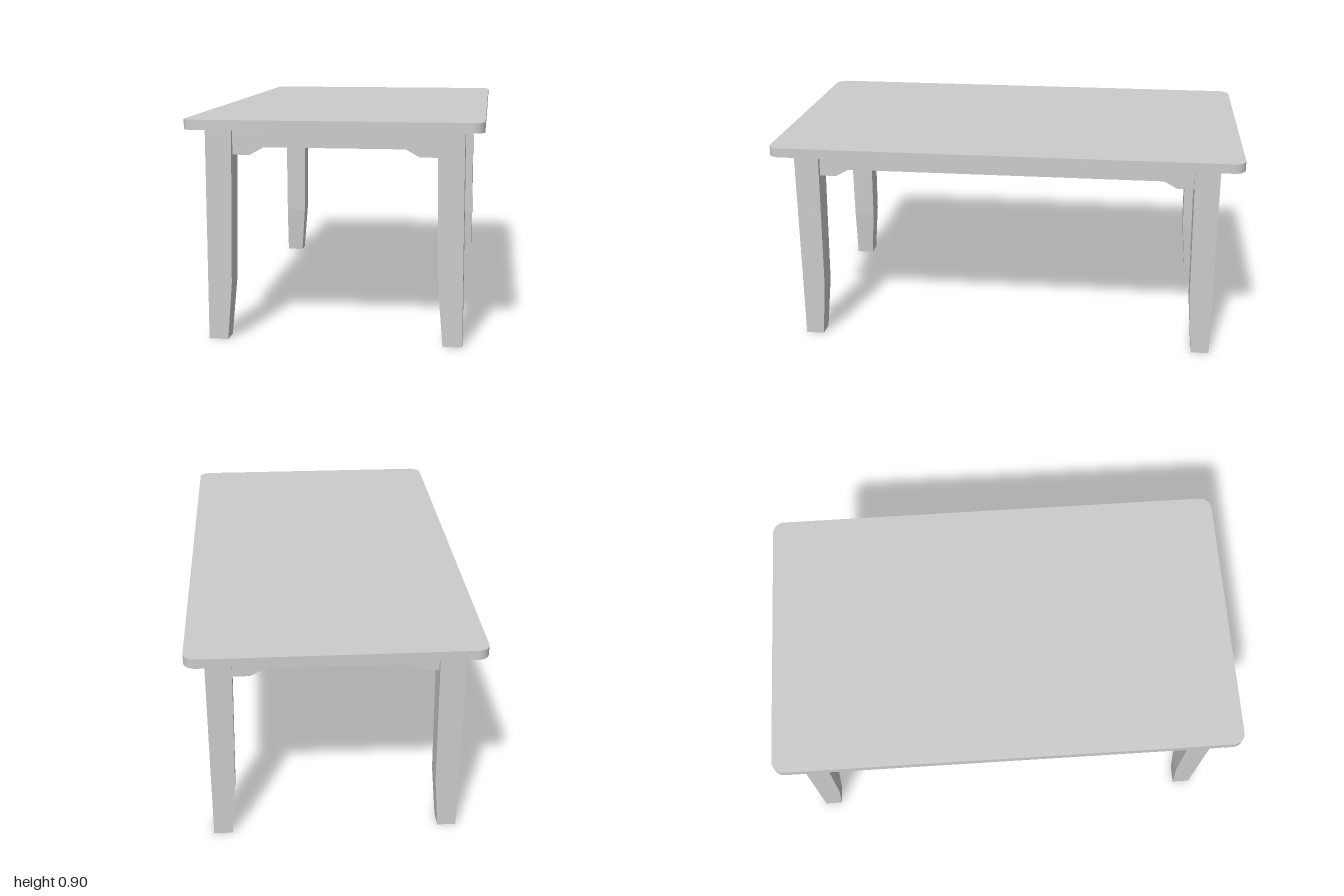
import * as THREE from 'three';
import { toCreasedNormals } from 'three/addons/utils/BufferGeometryUtils.js';

const material = new THREE.MeshStandardMaterial({ color: 0xcccccc });
const TOP_Y = 0.902, FRAME_Y = 0.862; // upper and lower face of the table top
const LEG_X = 0.513, LEG_Z = 0.907;   // outer corner of the legs
const LEG_W = 0.106, RECESS = 0.02, APRON_T = 0.04;

function addMesh(parent, geometry, name) {
  const mesh = new THREE.Mesh(geometry, material);
  mesh.name = name;
  parent.add(mesh);
  return mesh;
}

// Rounded rectangular slab
function topGeometry() {
  const w = 0.586, d = 1, r = 0.05;
  const s = new THREE.Shape();
  s.absarc(w - r, d - r, r, 0, Math.PI / 2);
  s.absarc(-w + r, d - r, r, Math.PI / 2, Math.PI);
  s.absarc(-w + r, -d + r, r, Math.PI, Math.PI * 1.5);
  s.absarc(w - r, -d + r, r, Math.PI * 1.5, Math.PI * 2);
  const g = new THREE.ExtrudeGeometry(s, { depth: TOP_Y - FRAME_Y, bevelEnabled: false, curveSegments: 10 });
  g.rotateX(-Math.PI / 2).translate(0, FRAME_Y, 0);
  return toCreasedNormals(g, 0.6);
}

// Square leg: outer corner on the origin, the two inner faces taper downwards
function legGeometry() {
  const levels = [[0, 0.078], [0.23, 0.097], [0.75, 0.105], [FRAME_Y, LEG_W]];
  const box = new THREE.BoxGeometry(1, 1, 1, 1, 3, 1);
  const p = box.attributes.position;
  for (let i = 0; i < p.count; i++) {
    const [y, w] = levels[Math.round((p.getY(i) + 0.5) * 3)];
    p.setXYZ(i, (p.getX(i) + 0.5) * w, y, (p.getZ(i) + 0.5) * w);
  }
  const g = box.toNonIndexed();
  g.computeVertexNormals();
  return g;
}

// Rail with a stepped bracket at each end; half is the distance to the leg face
function apronGeometry(half) {
  const right = [[half - 0.125, 0.785], [half - 0.07, 0.754], [half + 0.01, 0.754], [half + 0.01, FRAME_Y]];
  const left = right.map(([x, y]) => [-x, y]).reverse();
  const s = new THREE.Shape([...right, ...left].map(([x, y]) => new THREE.Vector2(x, y)));
  return new THREE.ExtrudeGeometry(s, { depth: APRON_T, bevelEnabled: false })
    .translate(0, 0, -APRON_T);
}

export function createModel() {
  const table = new THREE.Group();
  table.name = 'table';
  addMesh(table, topGeometry(), 'tableTop');

  // Legs and aprons sit very slightly off the centre of the top
  const frame = new THREE.Group();
  frame.name = 'frame';
  frame.position.set(-0.003, 0, 0.002);
  table.add(frame);

  const leg = legGeometry();
  const corners = [[-1, -1, 'backRightLeg'], [-1, 1, 'frontRightLeg'], [1, 1, 'frontLeftLeg'], [1, -1, 'backLeftLeg']];
  corners.forEach(([sx, sz, name], i) => {
    const m = addMesh(frame, leg, name);
    m.position.set(sx * LEG_X, 0, sz * LEG_Z);
    m.rotation.y = i * Math.PI / 2;
  });

  const short = apronGeometry(LEG_X - LEG_W), long = apronGeometry(LEG_Z - LEG_W);
  ['frontApron', 'leftApron', 'backApron', 'rightApron'].forEach((name, i) => {
    const side = i % 2 === 1, angle = i * Math.PI / 2;
    const m = addMesh(frame, side ? long : short, name);
    const out = (side ? LEG_X : LEG_Z) - RECESS;
    m.rotation.y = angle;
    m.position.set(Math.sin(angle) * out, 0, Math.cos(angle) * out);
  });
  return table;
}
